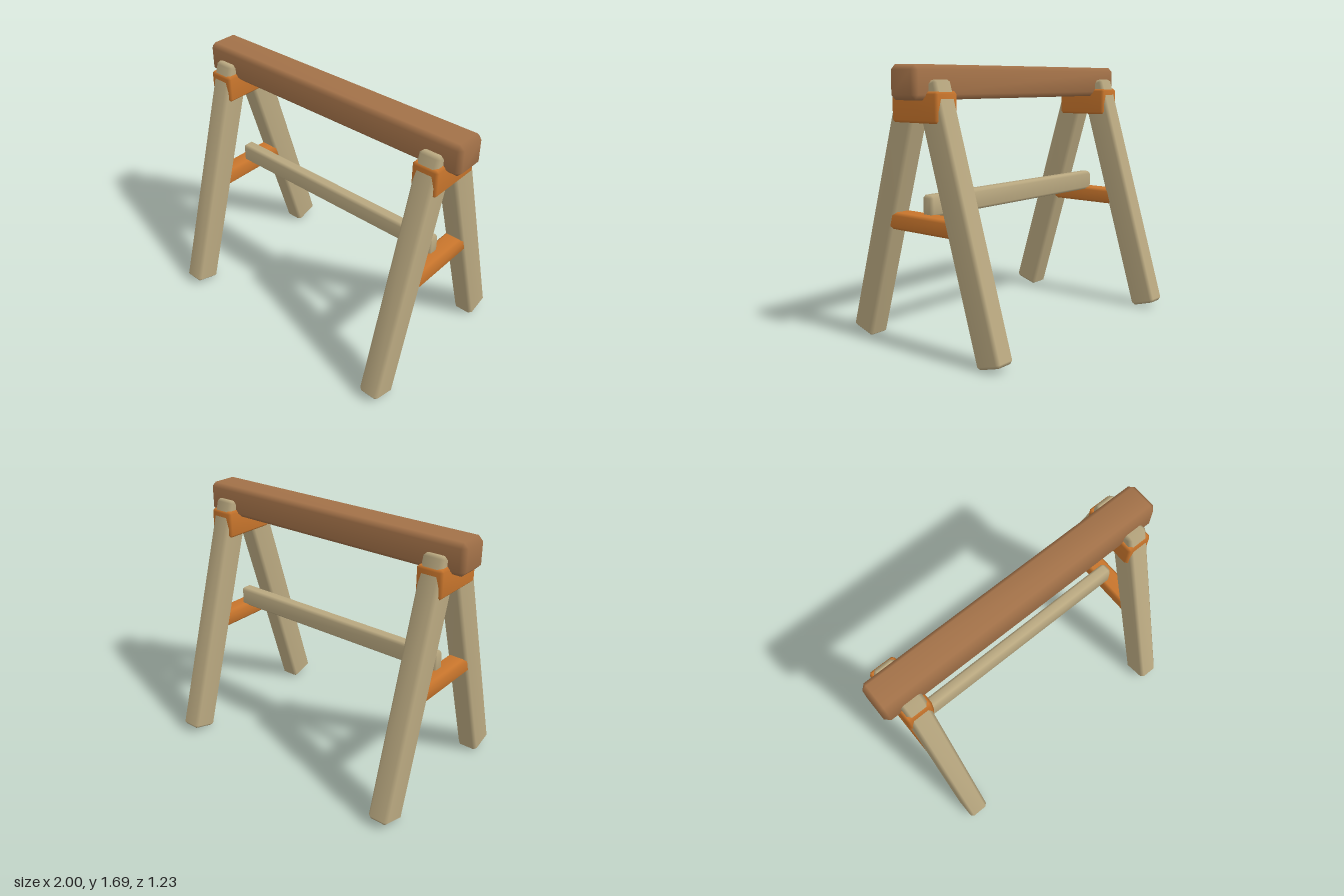
import * as THREE from 'three';
import { mergeVertices } from 'three/addons/utils/BufferGeometryUtils.js';
import { ConvexGeometry } from 'three/addons/geometries/ConvexGeometry.js';

// Box with every edge chamfered by b and softly shaded
function chamferBox(w, h, d, b) {
  const points = [];
  const [x, y, z] = [w / 2, h / 2, d / 2];
  for (const sx of [-1, 1]) for (const sy of [-1, 1]) for (const sz of [-1, 1]) {
    points.push(
      new THREE.Vector3(sx * x, sy * (y - b), sz * (z - b)),
      new THREE.Vector3(sx * (x - b), sy * y, sz * (z - b)),
      new THREE.Vector3(sx * (x - b), sy * (y - b), sz * z),
    );
  }
  const geometry = new ConvexGeometry(points);
  geometry.deleteAttribute('normal');
  const smooth = mergeVertices(geometry, 1e-4);
  smooth.computeVertexNormals();
  return smooth;
}

export function createModel() {
  const material = (name, color) => {
    const m = new THREE.MeshStandardMaterial({ color });
    m.name = name;
    return m;
  };
  const brownWood = material('brown wood', 0xa27148);
  const paleWood = material('pale wood', 0xb9a880);
  const orangeWood = material('orange wood', 0xc8752c);

  const model = new THREE.Group();
  model.name = 'sawhorse';
  const add = (name, geometry, mat, x, y, z) => {
    const mesh = new THREE.Mesh(geometry, mat);
    mesh.name = name;
    mesh.position.set(x, y, z);
    model.add(mesh);
    return mesh;
  };

  // Top beam and long stretcher
  add('topBeam', chamferBox(2, 0.2, 0.22, 0.03), brownWood, 0, 1.59, 0);
  add('stretcher', chamferBox(1.64, 0.13, 0.086, 0.018), paleWood, 0, 0.87, 0);

  // A-frame at each end
  const leg = chamferBox(0.14, 1.635, 0.18, 0.02);
  const bracket = chamferBox(0.175, 0.18, 0.376, 0.016);
  const rail = chamferBox(0.13, 0.105, 0.6, 0.018);
  for (const sx of [-1, 1]) {
    const side = sx > 0 ? 'left' : 'right';
    const x = sx * 0.825;
    add(side + 'Bracket', bracket, orangeWood, x, 1.45, 0);
    add(side + 'CrossRail', rail, orangeWood, x, 0.767, 0);
    for (const sz of [-1, 1]) {
      const name = side + (sz > 0 ? 'FrontLeg' : 'BackLeg');
      add(name, leg, paleWood, x, 0.803, sz * 0.302).rotation.x = -sz * 0.291;
    }
  }
  return model;
}
